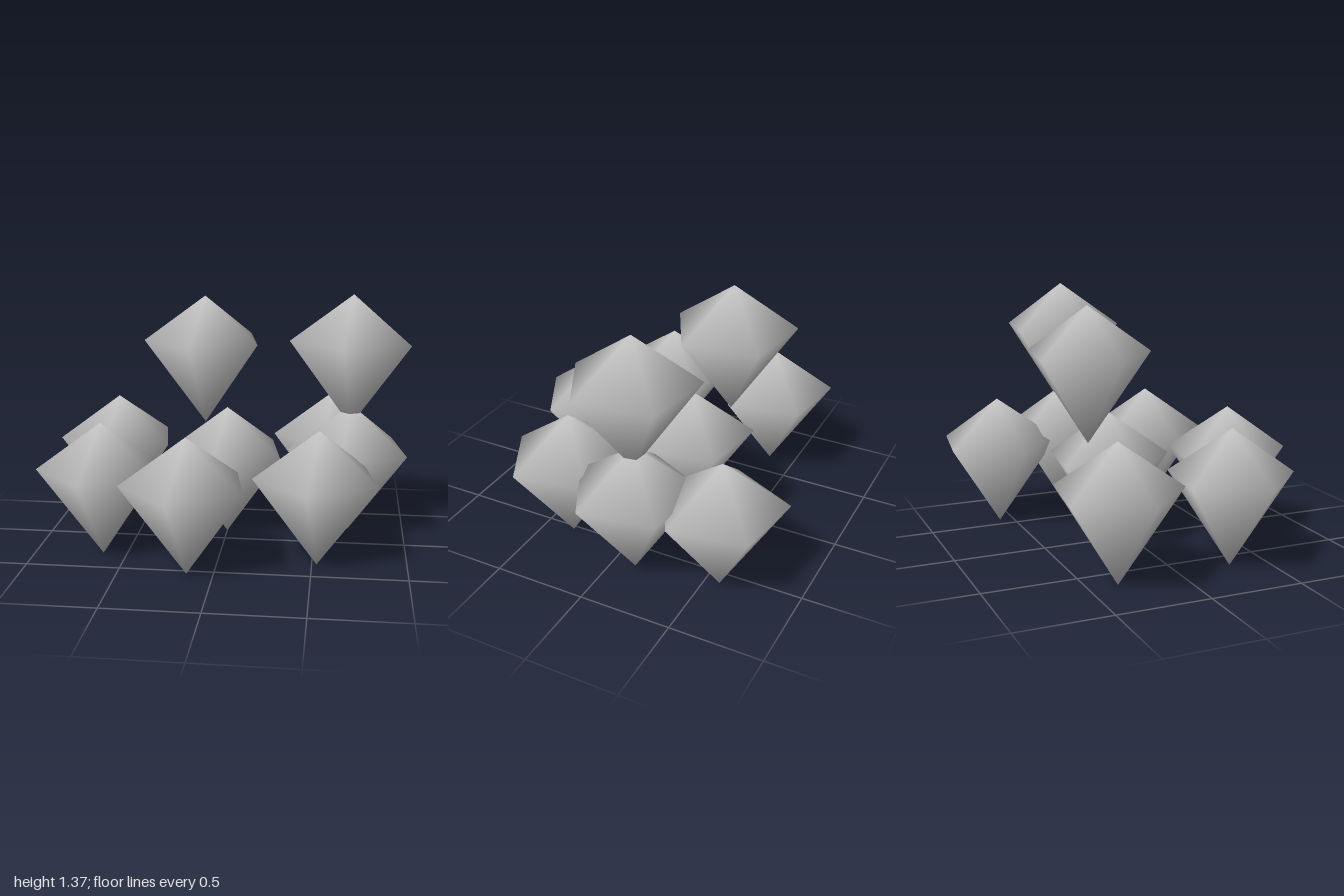
import * as THREE from 'three';

const SIDES = 5, RADIUS = 0.345, RING_Y = 0.48, HEIGHT = 0.73;
const TURN = THREE.MathUtils.degToRad(98.3);

// Five-sided gem: lower tip, one ring of corners and a flatter crown, with shared smooth normals
function gemGeometry() {
  const points = [0, 0, 0, 0, HEIGHT, 0];
  const faces = [];
  for (let i = 0; i < SIDES; i++) {
    const angle = TURN + (i / SIDES) * Math.PI * 2;
    points.push(Math.cos(angle) * RADIUS, RING_Y, Math.sin(angle) * RADIUS);
    const a = 2 + i, b = 2 + ((i + 1) % SIDES);
    faces.push(1, b, a, 0, a, b);
  }
  const geometry = new THREE.BufferGeometry();
  geometry.setAttribute('position', new THREE.Float32BufferAttribute(points, 3));
  geometry.setIndex(faces);
  geometry.computeVertexNormals();
  return geometry;
}

export function createModel() {
  const group = new THREE.Group();
  group.name = 'gemCluster';
  const geometry = gemGeometry();
  const material = new THREE.MeshStandardMaterial({ color: 0xcccccc });

  // Position of each gem's lower tip
  const gems = {
    backLowerGemRight: [-0.66, 0, -0.345],
    frontLowerGemRight: [-0.63, 0, 0.297],
    frontLowerGemMiddle: [-0.14, 0, 0.536],
    centreLowerGem: [0, 0, -0.128],
    backLowerGemLeft: [0.58, 0, -0.578],
    frontLowerGemLeft: [0.525, 0, 0.334],
    sideLowerGemLeft: [0.685, 0.03, -0.143],
    upperGemMiddle: [-0.145, 0.6, -0.298],
    upperGemLeft: [0.685, 0.64, -0.143],
  };
  for (const [name, tip] of Object.entries(gems)) {
    const gem = new THREE.Mesh(geometry, material);
    gem.name = name;
    gem.position.set(...tip);
    group.add(gem);
  }
  return group;
}
